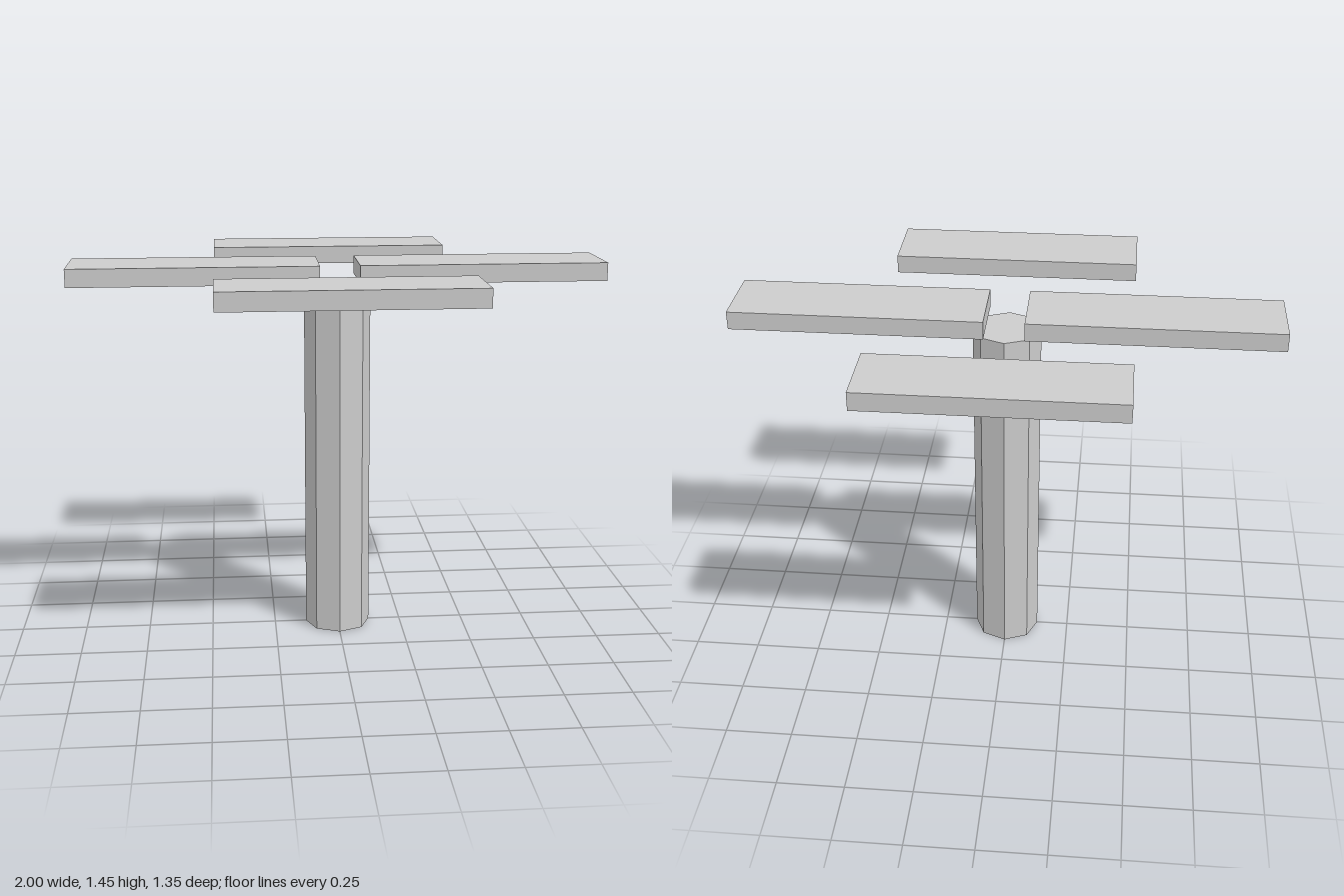
import * as THREE from 'three';

export function createModel() {
  const model = new THREE.Group();
  const grey = new THREE.MeshStandardMaterial({ color: 0xcccccc, flatShading: true });
  grey.name = 'light grey';

  // Octagonal column, with corners on the x and z axes
  const columnHeight = 1.365;
  const column = new THREE.Mesh(new THREE.CylinderGeometry(0.126, 0.126, columnHeight, 8), grey);
  column.name = 'column';
  column.position.y = columnHeight / 2;
  model.add(column);

  // Four equal slabs floating just above the column
  const slabGeometry = new THREE.BoxGeometry(0.926, 0.068, 0.272);
  const slabs = {
    leftSlab: [0.537, 0],
    rightSlab: [-0.537, 0],
    frontSlab: [0, 0.538],
    backSlab: [0, -0.538],
  };
  for (const [name, [x, z]] of Object.entries(slabs)) {
    const slab = new THREE.Mesh(slabGeometry, grey);
    slab.name = name;
    slab.position.set(x, 1.417, z);
    model.add(slab);
  }
  return model;
}
